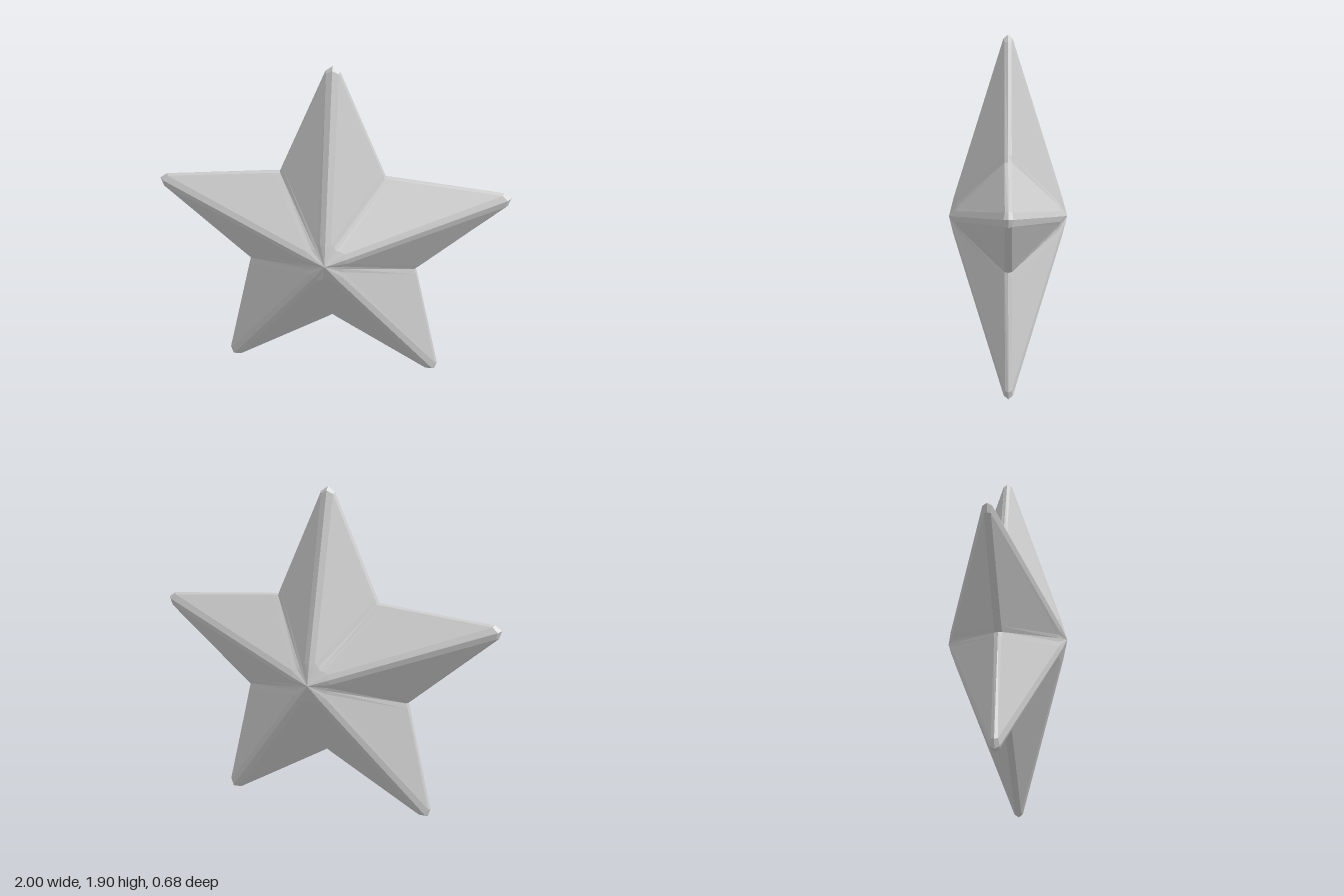
import * as THREE from 'three';

const ARMS = 5;
const CENTER_Y = 0.85;
const APEX = 0.34;

// Cross-section rings from the front apex to the rim.
// Each lists [distance, half width, z] for: ridge line, ridge bevel, valley bevel, valley line.
const FRONT_RINGS = [
  [[0.11, 0, 0.312], [0.12, 0.03, 0.298], [0.11, 0.02, 0.29], [0.10, 0, 0.293]],
  [[1.03, 0, 0.025], [1.01, 0.035, 0.018], [0.522, 0.03, 0.02], [0.502, 0, 0.021]],
];
const RIM = [[1.05, 0, 0], [1.02, 0.04, 0], [0.529, 0.031, 0], [0.51, 0, 0]];

// A point measured along and across a direction turned clockwise from straight up
function place(angle, along, across, z) {
  const s = Math.sin(angle), c = Math.cos(angle);
  return [along * s + across * c, along * c - across * s, z];
}

// Repeats the four section points, mirrored, around all arms
function makeRing([ridge, ridgeSide, valleySide, valley], zSign) {
  const ring = [];
  for (let i = 0; i < ARMS; i++) {
    const arm = (i * 2 * Math.PI) / ARMS;
    const gap = arm + Math.PI / ARMS;
    const next = arm + (2 * Math.PI) / ARMS;
    const add = (angle, [r, w, z], side) => ring.push(place(angle, r, w * side, z * zSign));
    add(arm, ridge, 0);
    add(arm, ridgeSide, 1);
    add(gap, valleySide, -1);
    add(gap, valley, 0);
    add(gap, valleySide, 1);
    add(next, ridgeSide, -1);
  }
  return ring;
}

function starGeometry() {
  const rings = [
    ...FRONT_RINGS.map((r) => makeRing(r, 1)),
    makeRing(RIM, 1),
    ...[...FRONT_RINGS].reverse().map((r) => makeRing(r, -1)),
  ];
  const positions = [];
  const tri = (...corners) => corners.forEach((p) => positions.push(...p));
  const n = rings[0].length;
  const last = rings[rings.length - 1];

  for (let i = 0; i < n; i++) {
    const j = (i + 1) % n;
    // Front and back peaks
    tri([0, 0, APEX], rings[0][j], rings[0][i]);
    tri([0, 0, -APEX], last[i], last[j]);
    // Bands between neighbouring rings
    for (let k = 0; k < rings.length - 1; k++) {
      const a = rings[k], b = rings[k + 1];
      tri(a[i], b[j], b[i]);
      tri(a[i], a[j], b[j]);
    }
  }

  const geometry = new THREE.BufferGeometry();
  geometry.setAttribute('position', new THREE.Float32BufferAttribute(positions, 3));
  geometry.computeVertexNormals();
  return geometry;
}

export function createModel() {
  const group = new THREE.Group();
  group.name = 'bevelledStar';

  const material = new THREE.MeshStandardMaterial({ color: 0xcccccc, flatShading: true });
  material.name = 'light grey';

  const star = new THREE.Mesh(starGeometry(), material);
  star.name = 'starBody';
  star.position.y = CENTER_Y;
  group.add(star);
  return group;
}
